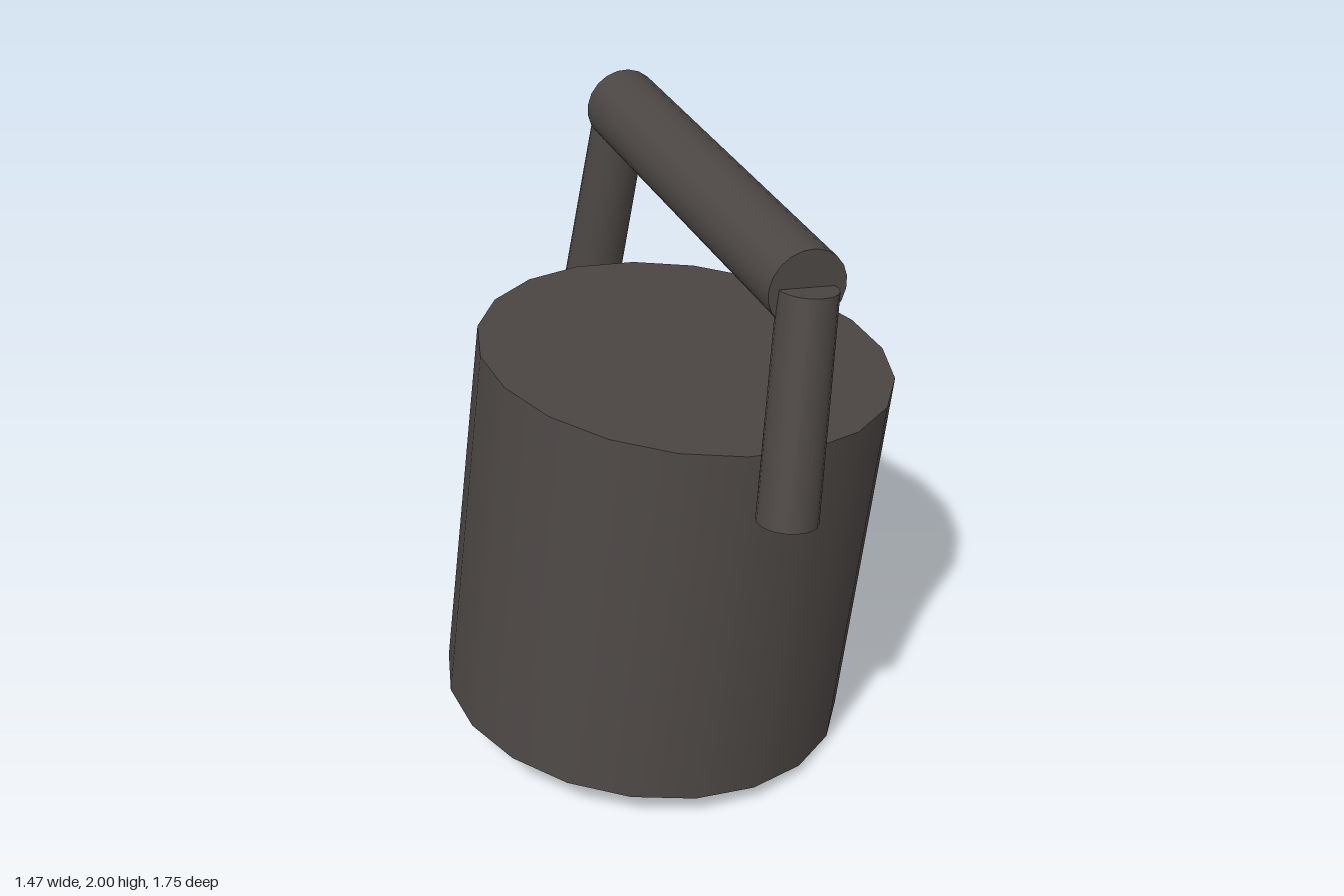
import * as THREE from 'three';

const UP = new THREE.Vector3(0, 1, 0);

// Closed cylinder running from one centre point to another
function rod(name, from, to, rFrom, rTo, sides, material, turn = 0) {
  const a = new THREE.Vector3(...from);
  const b = new THREE.Vector3(...to);
  const axis = b.clone().sub(a);
  const geometry = new THREE.CylinderGeometry(rTo, rFrom, axis.length(), sides);
  geometry.rotateY(turn);
  const mesh = new THREE.Mesh(geometry, material);
  mesh.name = name;
  mesh.position.copy(a).add(b).multiplyScalar(0.5);
  mesh.quaternion.setFromUnitVectors(UP, axis.normalize());
  return mesh;
}

export function createModel() {
  const iron = new THREE.MeshStandardMaterial({ color: 0x4c4745 });
  iron.name = 'dark iron';

  const group = new THREE.Group();
  group.name = 'handledWeight';

  // Tilted solid body
  group.add(rod('body', [-0.08, 0.088, 0.025], [0.075, 1.332, 0], 0.665, 0.665, 20, iron, 0.045));

  // Level grip across the top
  group.add(rod('grip', [0.022, 1.88, -0.71], [0.265, 1.88, 0.67], 0.123, 0.123, 20, iron));

  // Slightly tapered handle arms, splayed outward
  group.add(rod('frontArm', [0.195, 1.18, 0.782], [0.265, 1.885, 0.68], 0.094, 0.089, 20, iron));
  group.add(rod('backArm', [-0.083, 1.18, -0.784], [0.022, 1.885, -0.708], 0.094, 0.089, 20, iron));

  return group;
}
